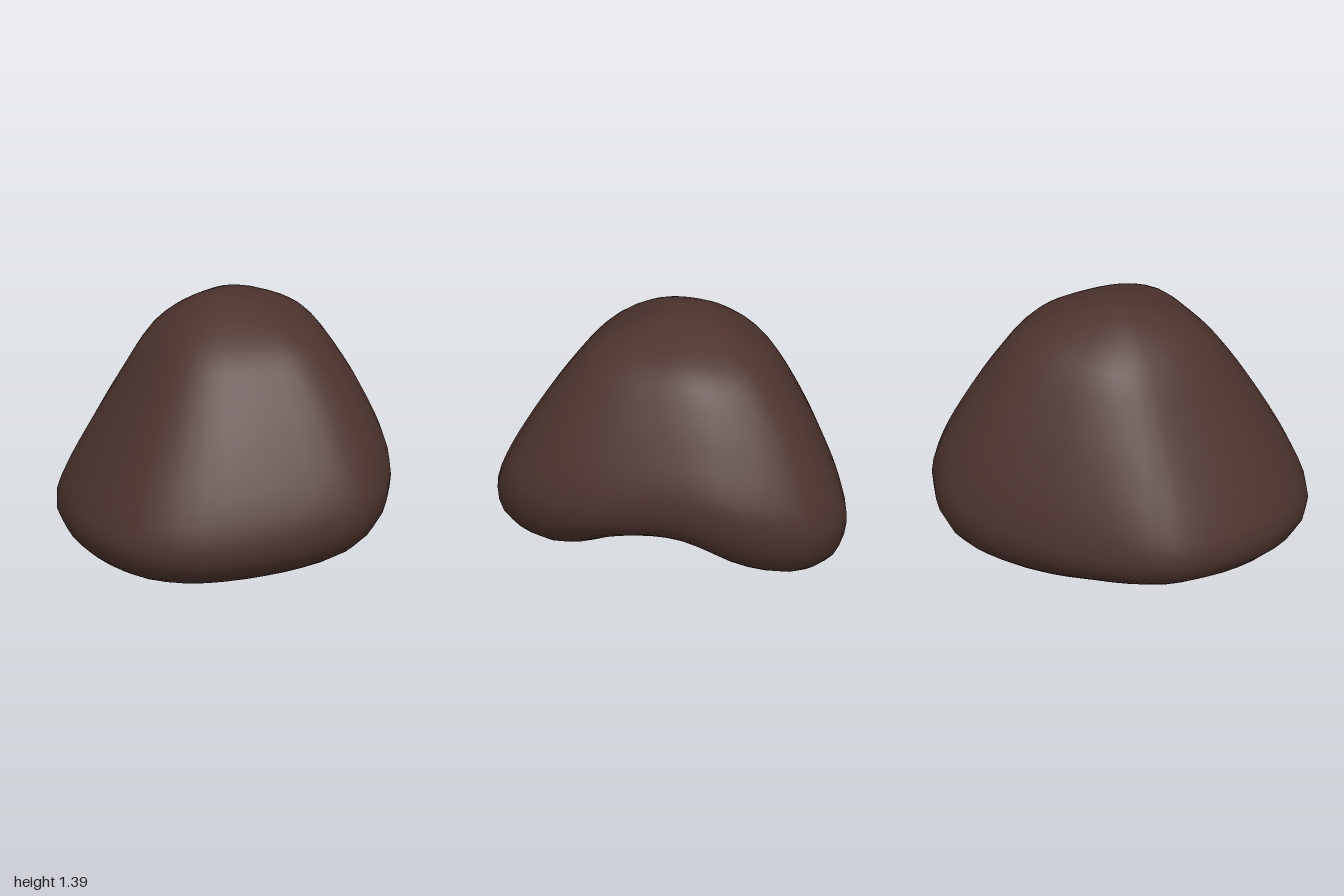
import * as THREE from 'three';
import { mergeVertices } from 'three/addons/utils/BufferGeometryUtils.js';

// Plan outline, one radius every 15 degrees, going from +x towards +z
const RADIUS = [0.835, 0.914, 1.008, 1.05, 1.0, 0.969, 0.98, 1.015, 1.025, 0.985, 0.942, 0.914,
  0.9, 0.836, 0.784, 0.778, 0.805, 0.884, 0.985, 0.998, 0.924, 0.852, 0.797, 0.792];
// Heights of the widest line and of the underside, one value every 30 degrees
const WAIST = [0.56, 0.48, 0.35, 0.28, 0.27, 0.26, 0.27, 0.26, 0.29, 0.37, 0.51, 0.62];
const UNDERSIDE = [0.29, 0.14, 0.06, 0.02, 0.01, 0.02, 0.035, 0.03, 0.015, 0.04, 0.15, 0.3];
// Extra fullness of the crown and of the flank, one value every 30 degrees
const CROWN = [0.07, 0.05, 0.03, 0.02, 0.0, -0.01, -0.01, 0.03, 0.04, 0.03, 0.06, 0.09];
const FLANK = [0.04, 0.03, 0.01, 0.01, -0.02, -0.045, -0.04, 0.02, 0.035, 0.03, 0.02, 0.03];
const TOP = 1.4, HOLLOW = 0.185;

// Smooth periodic interpolation of a list around the circle
function around(list, angle) {
  const n = list.length;
  const s = ((angle / (2 * Math.PI)) * n + 2 * n) % n;
  const i = Math.floor(s), f = s - i;
  const [a, b, c, d] = [-1, 0, 1, 2].map(k => list[(i + k + n) % n]);
  return b + 0.5 * f * (c - a + f * (2 * a - 5 * b + 4 * c - d + f * (3 * (b - c) + d - a)));
}

// Vertical outline at one angle: domed crown, rounded waist, hollowed underside
function outline(angle) {
  const [R, w, u, full, flank] = [RADIUS, WAIST, UNDERSIDE, CROWN, FLANK].map(l => around(l, angle));
  const crown = [[0, 1], [0.1, 0.992], [0.21, 0.962], [0.38, 0.88], [0.52, 0.77],
    [0.7, 0.55], [0.85, 0.33], [0.95, 0.15], [1, 0]].map(([r, t]) => [
    r + full * Math.sin(Math.PI * t ** 3) + flank * Math.sin(Math.PI * t),
    w + t * (TOP - w)]);
  const base = [[0.965, u + 0.52 * (w - u)], [0.86, u + 0.18 * (w - u)], [0.7, u],
    [0.4, HOLLOW + 0.5 * (u - HOLLOW)], [0.12, HOLLOW + 0.06 * (u - HOLLOW)], [0, HOLLOW]];
  return new THREE.SplineCurve([...crown, ...base].map(([r, y]) => new THREE.Vector2(r * R, y)));
}

export function createModel() {
  const group = new THREE.Group();

  // Sphere whose meridians are bent onto the outlines
  const sphere = new THREE.SphereGeometry(1, 48, 36);
  sphere.deleteAttribute('uv');
  sphere.deleteAttribute('normal');
  const geometry = mergeVertices(sphere);
  const pos = geometry.attributes.position;
  for (let i = 0; i < pos.count; i++) {
    const angle = Math.atan2(pos.getZ(i), pos.getX(i));
    const t = Math.acos(THREE.MathUtils.clamp(pos.getY(i), -1, 1)) / Math.PI;
    const p = outline(angle).getPointAt(t);
    pos.setXYZ(i, p.x * Math.cos(angle), p.y, p.x * Math.sin(angle));
  }
  geometry.computeVertexNormals();

  // Stand it on the ground, centred
  geometry.computeBoundingBox();
  const box = geometry.boundingBox, c = box.getCenter(new THREE.Vector3());
  geometry.translate(-c.x, -box.min.y, -c.z);

  const rock = new THREE.Mesh(geometry, new THREE.MeshStandardMaterial({ color: 0x4e342e }));
  rock.name = 'rock';
  group.add(rock);
  return group;
}
